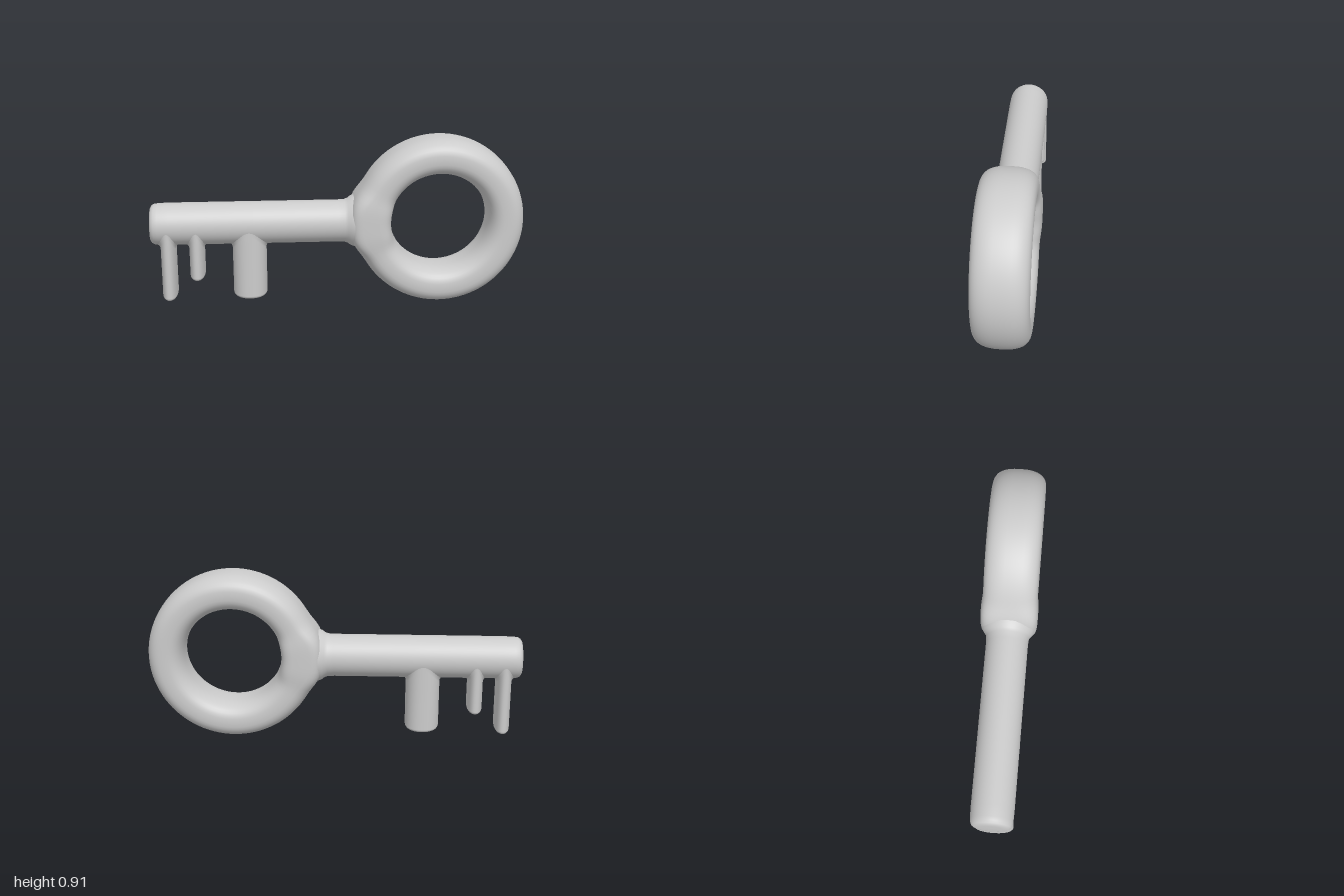
import * as THREE from 'three';
import { mergeVertices } from 'three/addons/utils/BufferGeometryUtils.js';

const SHAFT_Y = 0.45, SHAFT_R = 0.113;

// Smooth surface through a grid of points: point(i, j), i along the rows, j around
function loft(rows, cols, point) {
  const pos = [], index = [];
  for (let i = 0; i <= rows; i++)
    for (let j = 0; j <= cols; j++) pos.push(...point(i, j % cols));
  for (let i = 0; i < rows; i++)
    for (let j = 0; j < cols; j++) {
      const a = i * (cols + 1) + j, b = a + cols + 1;
      index.push(a, b, a + 1, b, b + 1, a + 1);
    }
  const g = new THREE.BufferGeometry();
  g.setAttribute('position', new THREE.Float32BufferAttribute(pos, 3));
  g.setIndex(index);
  const merged = mergeVertices(g, 1e-5);
  merged.computeVertexNormals();
  return merged;
}

// Rounded (superellipse) cosine or sine
const soft = (v, n) => Math.sign(v) * Math.pow(Math.abs(v), 2 / n);

// Ring handle, with a squarer, fuller section where it meets the shaft
function ringGeometry() {
  const U = 96, V = 40, inner = 0.26;
  return loft(U, V, (i, j) => {
    const u = ((i % U) / U) * Math.PI * 2, v = (j / V) * Math.PI * 2;
    const swell = Math.exp(-Math.pow((u - Math.PI) / 0.36, 4));
    const outer = 0.455 + 0.028 * swell;
    const n = 2.6 + 1.4 * swell;
    const r = (outer + inner) / 2 + ((outer - inner) / 2) * soft(Math.cos(v), n);
    const z = (0.145 + 0.01 * swell) * soft(Math.sin(v), n);
    return [0.542 + r * Math.cos(u), 0.457 + r * Math.sin(u), -z];
  });
}

// Round shaft: softened tip, small flare into the ring
function shaftGeometry() {
  const profile = [
    [0, -1], [0.06, -0.999], [0.088, -0.996], [0.101, -0.988], [0.108, -0.975],
    [0.111, -0.955], [SHAFT_R, -0.9], [SHAFT_R, -0.45], [SHAFT_R, 0],
    [0.115, 0.035], [0.121, 0.052], [0.132, 0.066], [0.14, 0.085],
  ].map(([r, y]) => new THREE.Vector2(r, y));
  return new THREE.LatheGeometry(profile, 48).rotateZ(-Math.PI / 2).translate(0, SHAFT_Y, 0);
}

// Oval tooth: rounded foot, and a fillet that follows the underside of the shaft
function toothGeometry(x, halfX, bottom) {
  const halfZ = 0.11, bevel = 0.016, fillet = 0.03, cols = 48;
  const rows = [{ scale: 0 }, { scale: 0.6 }];
  for (let k = 0; k <= 4; k++) {
    const a = (k / 4) * Math.PI / 2;
    rows.push({ inset: bevel * (1 - Math.sin(a)), up: bevel * (1 - Math.cos(a)) });
  }
  for (let k = 0; k <= 6; k++) {
    const a = (k / 6) * Math.PI / 2;
    rows.push({ flare: fillet * (1 - Math.cos(a)), below: fillet * (1 - Math.sin(a)) });
  }
  return loft(rows.length - 1, cols, (i, j) => {
    const { scale = 1, inset = 0, up = 0, flare = 0, below } = rows[i];
    const a = (j / cols) * Math.PI * 2;
    const c = soft(Math.cos(a), 2.3), s = soft(Math.sin(a), 2.3);
    const z = s * (halfZ - inset) * scale;
    const surface = SHAFT_Y - Math.sqrt(SHAFT_R ** 2 - z ** 2) + 0.008;
    const y = below === undefined ? bottom + up : surface - below;
    return [x + c * (halfX - inset + flare) * scale, y, -z * -1];
  });
}

export function createModel() {
  const model = new THREE.Group();
  model.name = 'key';
  const material = new THREE.MeshStandardMaterial({ color: 0xcccccc, side: THREE.DoubleSide });
  const add = (name, geometry) => {
    const mesh = new THREE.Mesh(geometry, material);
    mesh.name = name;
    model.add(mesh);
  };

  add('ringHandle', ringGeometry());
  add('shaft', shaftGeometry());

  // Teeth: centre x, half width, bottom height
  add('tipTooth', toothGeometry(-0.907, 0.041, 0.045));
  add('shortTooth', toothGeometry(-0.755, 0.041, 0.157));
  add('wideTooth', toothGeometry(-0.474, 0.091, 0.048));
  return model;
}
